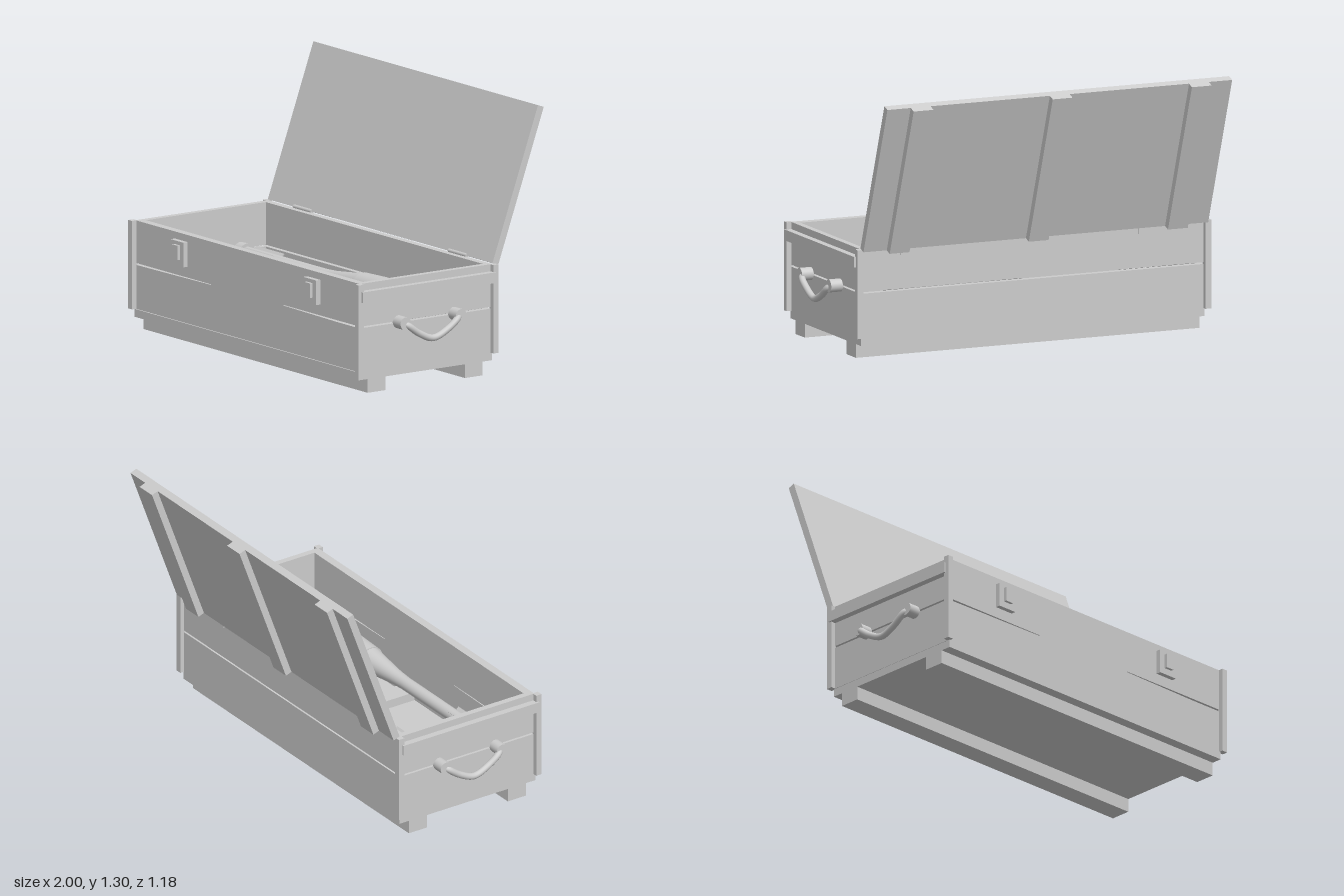
import * as THREE from 'three';

const material = new THREE.MeshStandardMaterial({ color: 0xcccccc });

export function createModel() {
  const model = new THREE.Group();
  model.name = 'openCrate';

  const add = (name, geometry, parent = model) => {
    const mesh = new THREE.Mesh(geometry, material);
    mesh.name = name;
    parent.add(mesh);
    return mesh;
  };
  // Box given by its limits on each axis
  const box = (name, [x0, x1], [y0, y1], [z0, z1], parent) => {
    const mesh = add(name, new THREE.BoxGeometry(x1 - x0, y1 - y0, z1 - z0), parent);
    mesh.position.set((x0 + x1) / 2, (y0 + y1) / 2, (z0 + z1) / 2);
    return mesh;
  };
  const span = (s, a, b) => (s > 0 ? [a, b] : [-b, -a]);

  // Floor and the two long skids
  box('floor', [-0.92, 0.92], [0.068, 0.107], [-0.246, 0.555]);
  box('frontSkid', [-0.92, 0.92], [0, 0.068], [0.393, 0.5]);
  box('backSkid', [-0.92, 0.92], [0, 0.068], [-0.19, -0.084]);

  // Front wall: one outline with a tapering crack cut in from each end
  const wall = new THREE.Shape([
    [-0.917, 0.107], [0.917, 0.107], [0.917, 0.325], [0.73, 0.325], [0.29, 0.331],
    [0.29, 0.334], [0.917, 0.334], [0.917, 0.545], [-0.917, 0.545], [-0.917, 0.334],
    [-0.3, 0.334], [-0.3, 0.331], [-0.86, 0.325], [-0.917, 0.325],
  ].map(([x, y]) => new THREE.Vector2(x, y)));
  add('frontWall', new THREE.ExtrudeGeometry(wall, { depth: 0.042, bevelEnabled: false }))
    .position.z = 0.506;

  // Back and end walls, each of two planks with a gap between
  for (const [name, y] of [['lower', [0.107, 0.325]], ['upper', [0.334, 0.545]]]) {
    box(name + 'BackPlank', [-0.917, 0.917], y, [-0.246, -0.211]);
    for (const s of [-1, 1]) {
      box(name + 'EndPlank', span(s, 0.89, 0.922), y, [-0.235, 0.542]);
    }
  }

  for (const s of [-1, 1]) {
    // Corner posts and end strip
    box('frontCornerPost', span(s, 0.915, 0.947), [0.107, 0.545], [0.542, 0.573]);
    box('backCornerPost', span(s, 0.915, 0.947), [0.107, 0.545], [-0.267, -0.235]);
    box('endStrip', span(s, 0.92, 0.956), [0.457, 0.51], [-0.246, 0.555]);

    // Rope handle hanging from two round mounts
    const handle = new THREE.Group();
    handle.name = 'handle';
    model.add(handle);
    for (const z of [0.317, -0.015]) {
      const mount = add('handleMount', new THREE.CylinderGeometry(0.032, 0.032, 0.065, 24), handle);
      mount.rotation.z = Math.PI / 2;
      mount.position.set(s * 0.952, 0.33, z);
    }
    const path = new THREE.CatmullRomCurve3([
      [0.955, 0.33, 0.317], [0.978, 0.318, 0.3], [0.982, 0.272, 0.235], [0.982, 0.24, 0.151],
      [0.982, 0.272, 0.067], [0.978, 0.318, 0.002], [0.955, 0.33, -0.015],
    ].map(([x, y, z]) => new THREE.Vector3(s * x, y, z)));
    add('rope', new THREE.TubeGeometry(path, 48, 0.017, 12), handle);

    // Latch on the front
    const lx = s * 0.545;
    box('latchPlate', [lx - 0.053, lx + 0.053], [0.388, 0.51], [0.546, 0.573]);
    box('latchTongue', [lx - 0.023, lx + 0.023], [0.42, 0.492], [0.57, 0.588]);

    // Hinge between back wall and lid
    const hx = s * 0.637;
    box('hingeLeaf', [hx - 0.07, hx + 0.07], [0.5, 0.55], [-0.253, -0.245]);
    const pin = add('hingePin', new THREE.CylinderGeometry(0.01, 0.01, 0.145, 12));
    pin.rotation.z = Math.PI / 2;
    pin.position.set(hx, 0.55, -0.25);
  }

  // Lid, built upright from its lower inner edge and then leaned back
  const lid = new THREE.Group();
  lid.name = 'lid';
  lid.position.set(0, 0.549, -0.247);
  lid.rotation.x = -0.35;
  model.add(lid);
  box('lidBoard', [-0.923, 0.923], [0, 0.797], [-0.037, 0], lid);
  for (const x of [-0.745, 0, 0.745]) {
    box('lidBatten', [x - 0.053, x + 0.053], [0, 0.797], [-0.072, -0.037], lid);
  }

  // Cross battens on the inside of the floor
  for (const x of [-0.547, 0.09, 0.653]) {
    box('floorBatten', [x - 0.053, x + 0.053], [0.107, 0.15], [-0.211, 0.506]);
  }

  // Two finned shells lying along x; smooth sections are joined by sharp seams
  const sections = [
    [[0, -0.855], [0.046, -0.855]],
    [[0.046, -0.855], [0.048, -0.8]],
    [[0.048, -0.8], [0.032, -0.8]],
    [[0.032, -0.8], [0.033, -0.15], [0.037, -0.07], [0.052, 0.06], [0.064, 0.15]],
    [[0.064, 0.15], [0.068, 0.15]],
    [[0.068, 0.15], [0.073, 0.3], [0.074, 0.43]],
    [[0.074, 0.43], [0.069, 0.46]],
    [[0.069, 0.46], [0.07, 0.5], [0.064, 0.58], [0.052, 0.66], [0.036, 0.72], [0.02, 0.76]],
    [[0.02, 0.76], [0.014, 0.8]],
    [[0.014, 0.8], [0.009, 0.812], [0, 0.814]],
  ];
  for (const z of [-0.033, 0.328]) {
    const shell = new THREE.Group();
    shell.name = 'shell';
    shell.position.set(0, 0.33, z);
    model.add(shell);
    for (const points of sections) {
      const profile = points.map(([r, x]) => new THREE.Vector2(r, x));
      add('shellBody', new THREE.LatheGeometry(profile, 32), shell).rotation.z = -Math.PI / 2;
    }
    // Four diagonal tail fins
    for (let i = 0; i < 4; i++) {
      const fin = new THREE.Group();
      fin.name = 'tailFin';
      fin.rotation.x = Math.PI / 4 + (i * Math.PI) / 2;
      shell.add(fin);
      box('finBlade', [-0.77, -0.545], [0.025, 0.05], [-0.003, 0.003], fin);
    }
  }

  return model;
}
